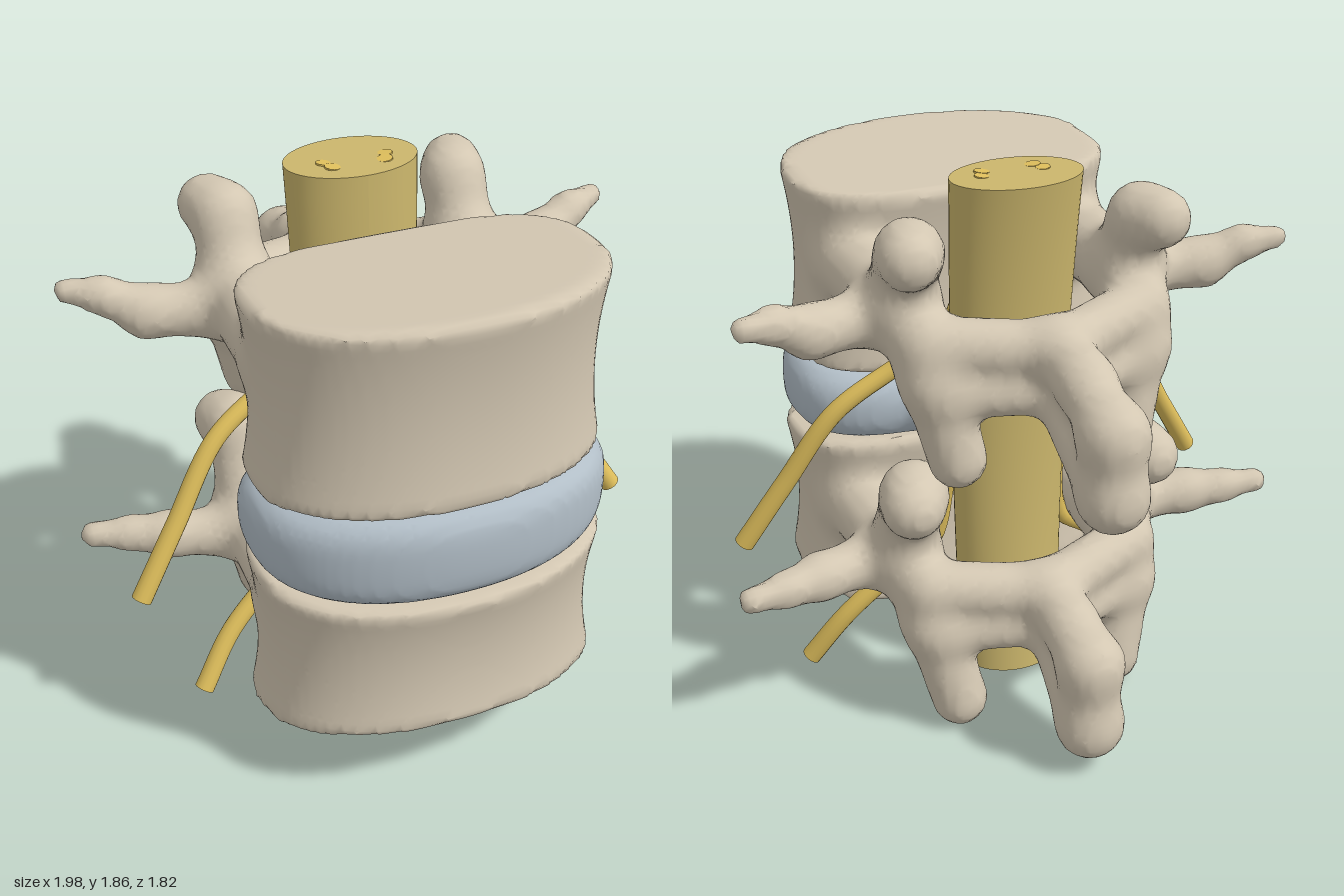
import * as THREE from 'three';

const material = (name, color) => Object.assign(new THREE.MeshStandardMaterial({ color }), { name });

// Smooth union of two distances.
function blend(a, b, k) {
  const h = Math.max(k - Math.abs(a - b), 0) / k;
  return Math.min(a, b) - h * h * k * 0.25;
}

// Tapered capsule between points a and b, each [x, y, z, radius].
function capsule(x, y, z, a, b) {
  const dx = b[0] - a[0], dy = b[1] - a[1], dz = b[2] - a[2];
  const px = x - a[0], py = y - a[1], pz = z - a[2];
  const t = Math.min(1, Math.max(0, (px * dx + py * dy + pz * dz) / (dx * dx + dy * dy + dz * dz)));
  return Math.hypot(px - t * dx, py - t * dy, pz - t * dz) - a[3] - t * (b[3] - a[3]);
}

// Kidney-shaped block: top and bottom are [back y, front y]; waist pinches (+) or bulges (-).
function block(x, y, z, { a, top, bottom, waist, round }) {
  const dz = z - 0.5, n = dz > 0 ? 2.15 : 3, depth = dz > 0 ? 0.39 : 0.335;
  const f = Math.pow((Math.abs(x) / a) ** n + (Math.abs(dz) / depth) ** n, 1 / n);
  const r = Math.hypot(x, dz);
  const u = Math.min(1, Math.max(0, (z - 0.16) / 0.73));
  const hi = top[0] + (top[1] - top[0]) * u, lo = bottom[0] + (bottom[1] - bottom[0]) * u;
  const t = Math.min(1, Math.abs(2 * y - hi - lo) / (hi - lo));
  const side = (f > 1e-6 ? r * (1 - 1 / f) : -depth) + waist * (1 - t * t);
  return -blend(-side, -Math.max(y - hi, lo - y), round);
}

// Surface of a distance field: one vertex per crossed cell, one quad per crossed grid edge.
function surface(field, min, max, h) {
  const n = min.map((m, i) => Math.ceil((max[i] - m) / h) + 1);
  const step = [1, n[0], n[0] * n[1]];
  const values = new Float32Array(n[0] * n[1] * n[2]);
  const ids = new Int32Array(values.length).fill(-1);
  const positions = [], index = [];
  const each = (start, trim, fn) => {
    for (let k = start; k < n[2] - trim; k++)
      for (let j = start; j < n[1] - trim; j++)
        for (let i = start; i < n[0] - trim; i++) fn([i, j, k], i + j * step[1] + k * step[2]);
  };
  each(0, 0, (p, g) => {
    values[g] = field(min[0] + p[0] * h, min[1] + p[1] * h, min[2] + p[2] * h);
  });
  each(0, 1, (p, g) => {
    const sum = [0, 0, 0];
    let count = 0;
    for (let c = 0; c < 8; c++) {
      const bits = [c & 1, (c >> 1) & 1, c >> 2];
      const corner = g + bits[0] + bits[1] * step[1] + bits[2] * step[2];
      const va = values[corner];
      for (let axis = 0; axis < 3; axis++) {
        if (bits[axis]) continue;
        const vb = values[corner + step[axis]];
        if ((va < 0) === (vb < 0)) continue;
        for (let d = 0; d < 3; d++) sum[d] += bits[d] + (d === axis ? va / (va - vb) : 0);
        count++;
      }
    }
    if (!count) return;
    ids[g] = positions.length / 3;
    for (let d = 0; d < 3; d++) positions.push(min[d] + (p[d] + sum[d] / count) * h);
  });
  each(1, 1, (p, g) => {
    for (let axis = 0; axis < 3; axis++) {
      const inside = values[g] < 0;
      if (inside === (values[g + step[axis]] < 0)) continue;
      const b = step[(axis + 1) % 3], c = step[(axis + 2) % 3];
      const q = [ids[g], ids[g - b], ids[g - b - c], ids[g - c]];
      if (!inside) q.reverse();
      index.push(q[0], q[1], q[2], q[0], q[2], q[3]);
    }
  });
  const geometry = new THREE.BufferGeometry();
  geometry.setAttribute('position', new THREE.Float32BufferAttribute(positions, 3));
  geometry.setIndex(index);
  geometry.computeVertexNormals();
  return geometry;
}

// Body, paired joints and wings, arch and spine blended into one bone; chains are mirrored in x.
function vertebra(cx, body, chains, min, max) {
  const field = (px, y, z) => {
    const x = Math.abs(px - cx);
    let arch = 9;
    for (const chain of chains)
      for (let i = 0; i + 1 < chain.length; i++)
        arch = blend(arch, capsule(x, y, z, chain[i], chain[i + 1]), 0.06);
    return blend(block(x, y, z, body), arch, 0.08);
  };
  return surface(field, min, max, 0.024);
}

// Tapered nerve along a smooth path, closed at both ends.
function nerve(name, points, r0, r1, mat) {
  const group = new THREE.Group();
  group.name = name;
  const curve = new THREE.CatmullRomCurve3(points.map((p) => new THREE.Vector3(...p)));
  const rings = 60, sides = 14;
  const tube = new THREE.TubeGeometry(curve, rings, 1, sides);
  const pos = tube.attributes.position, v = new THREE.Vector3();
  for (let i = 0; i <= rings; i++) {
    const centre = curve.getPointAt(i / rings), r = r0 + (r1 - r0) * i / rings;
    for (let j = 0; j <= sides; j++) {
      const k = i * (sides + 1) + j;
      v.fromBufferAttribute(pos, k).sub(centre).multiplyScalar(r).add(centre);
      pos.setXYZ(k, v.x, v.y, v.z);
    }
  }
  group.add(new THREE.Mesh(tube, mat));
  for (const [t, r, sign] of [[0, r0, -1], [1, r1, 1]]) {
    const cap = new THREE.Mesh(new THREE.CircleGeometry(r, sides), mat);
    cap.position.copy(curve.getPointAt(t));
    cap.lookAt(cap.position.clone().addScaledVector(curve.getTangentAt(t), sign));
    group.add(cap);
  }
  return group;
}

export function createModel() {
  const model = new THREE.Group();
  const bone = material('bone', 0xd3c7b2);
  const discGrey = material('disc grey', 0xb2bec7);
  const cordYellow = material('cord yellow', 0xcbb66c);
  const nerveYellow = material('nerve yellow', 0xdfbf5c);
  const add = (name, geometry, mat) => {
    const mesh = new THREE.Mesh(geometry, mat);
    mesh.name = name;
    model.add(mesh);
  };

  // Upper vertebra
  add('upperVertebra', vertebra(-0.013,
    { a: 0.57, top: [1.745, 1.795], bottom: [1.1, 1.17], waist: 0.035, round: 0.03 }, [
      [[0.4, 1.48, 0.3, 0.13], [0.4, 1.48, -0.08, 0.12], [0.4, 1.7, -0.2, 0.095], [0.43, 1.71, -0.28, 0.095]], // pedicle, upper joint
      [[0.45, 1.45, -0.05, 0.1], [0.7, 1.46, -0.11, 0.075], [0.82, 1.52, -0.15, 0.05], [0.93, 1.54, -0.19, 0.04]], // side wing
      [[0.4, 1.5, -0.15, 0.11], [0.36, 1.3, -0.28, 0.1], [0.3, 1.03, -0.32, 0.095]], // lower joint
      [[0.37, 1.42, -0.27, 0.09], [0, 1.39, -0.41, 0.09]], // arch
      [[0.34, 1.26, -0.3, 0.08], [0, 1.26, -0.42, 0.08]],
      [[0, 1.4, -0.42, 0.1], [0, 1.36, -0.6, 0.085], [0, 1.27, -0.79, 0.1], [0, 1.07, -0.8, 0.1], [0, 1.22, -0.5, 0.085]], // spine
    ], [-1.06, 0.86, -1], [1.06, 1.9, 0.98]), bone);

  // Lower vertebra, its chains in the same order
  add('lowerVertebra', vertebra(0.003,
    { a: 0.59, top: [0.855, 0.81], bottom: [0.18, 0.325], waist: 0.035, round: 0.03 }, [
      [[0.4, 0.57, 0.3, 0.13], [0.4, 0.57, -0.08, 0.12], [0.4, 0.88, -0.23, 0.1], [0.43, 0.87, -0.3, 0.1]],
      [[0.45, 0.56, -0.05, 0.1], [0.7, 0.57, -0.11, 0.07], [0.82, 0.58, -0.15, 0.05], [0.95, 0.59, -0.18, 0.045]],
      [[0.4, 0.6, -0.15, 0.11], [0.36, 0.4, -0.28, 0.1], [0.295, 0.11, -0.335, 0.095]],
      [[0.37, 0.54, -0.28, 0.09], [0, 0.51, -0.41, 0.09]],
      [[0.34, 0.38, -0.3, 0.08], [0, 0.39, -0.42, 0.08]],
      [[0, 0.51, -0.42, 0.1], [0, 0.47, -0.58, 0.085], [0, 0.41, -0.72, 0.1], [0, 0.18, -0.73, 0.1], [0, 0.36, -0.48, 0.085]],
    ], [-1.06, -0.06, -0.92], [1.06, 1.06, 0.98]), bone);

  // Disc with a bulge pushing back on one side
  const disc = { a: 0.575, top: [1.085, 1.165], bottom: [0.855, 0.825], waist: -0.018, round: 0.1 };
  add('disc', surface((x, y, z) => blend(block(x + 0.006, y, z, disc),
    capsule(x, y, z, [0.17, 0.965, 0.22, 0.07], [0.16, 0.96, 0.02, 0.08]), 0.06),
  [-0.68, 0.74, -0.14], [0.68, 1.26, 0.98], 0.022), discGrey);

  // Cord: an oval column, narrower behind the disc
  const cord = new THREE.CylinderGeometry(1, 1, 1.81, 48, 24);
  const pos = cord.attributes.position;
  for (let i = 0; i < pos.count; i++) {
    const t = pos.getY(i) / 1.81 + 0.5, bow = 4 * t * (1 - t);
    pos.setXYZ(i, pos.getX(i) * (0.182 + 0.04 * t) - 0.014, 0.06 + t * 1.81,
      pos.getZ(i) * (0.152 - 0.025 * bow) - 0.07 - 0.04 * t + 0.035 * bow);
  }
  cord.computeVertexNormals();
  add('cord', cord, cordYellow);

  // Nerve pairs leaving below each pedicle
  for (const s of [1, -1]) {
    const side = s > 0 ? 'left' : 'right';
    const path = (pts) => pts.map(([x, y, z]) => [s * x - 0.007, y, z]);
    model.add(nerve(side + 'UpperNerve', path([[0.088, 1.873, -0.055], [0.12, 1.6, -0.06], [0.2, 1.31, 0],
      [0.36, 1.2, 0.05], [0.56, 1.06, 0.09], [0.73, 0.8, 0.15], [0.875, 0.57, 0.2]]), 0.026, 0.035, nerveYellow));
    model.add(nerve(side + 'LowerNerve', path([[0.105, 1.873, -0.095], [0.13, 1.6, -0.08], [0.2, 1.28, -0.01],
      [0.215, 1, -0.08], [0.21, 0.75, -0.01], [0.25, 0.52, 0.03], [0.38, 0.41, 0.06],
      [0.55, 0.25, 0.1], [0.675, 0.07, 0.155]]), 0.024, 0.035, nerveYellow));
  }
  return model;
}
